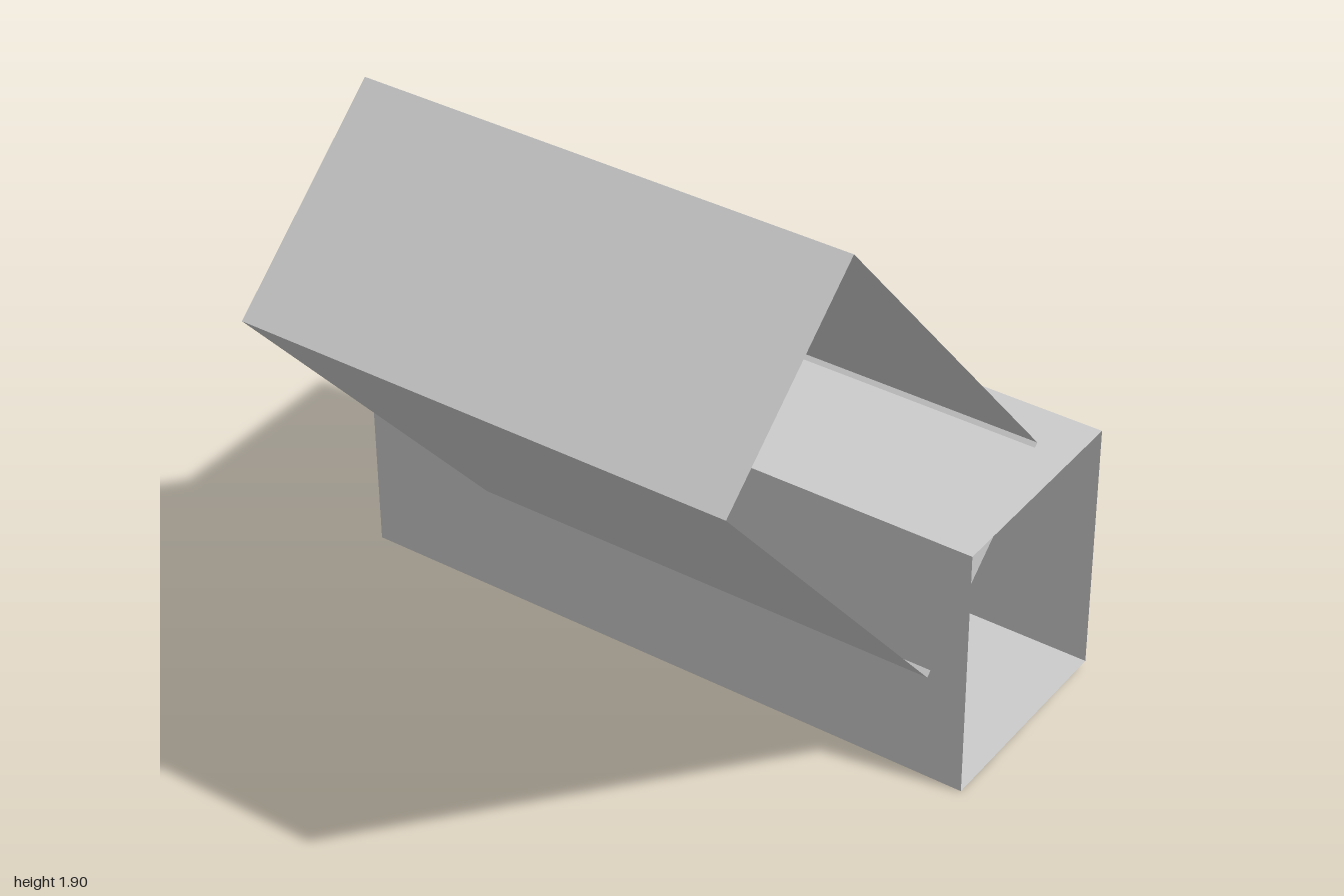
import * as THREE from 'three';

const material = new THREE.MeshStandardMaterial({ color: 0xcccccc, flatShading: true, side: THREE.DoubleSide });

// Thin four-sided shell, open at the front, with a recessed panel in its back.
// Corners run counter-clockwise as seen from the front.
function openBox(name, outer, inset, front, back, recess) {
  const ring = (corners, z) => corners.map(([x, y]) => [x, y, z]);
  const rings = [
    ring(outer, front),
    ring(outer, back),
    ring(inset, back),
    ring(inset, back + recess),
  ];
  const pos = [];
  const quad = (a, b, c, d) => pos.push(...a, ...b, ...c, ...a, ...c, ...d);

  // Side walls, back rim and recess walls
  for (let r = 0; r < rings.length - 1; r++) {
    for (let i = 0; i < 4; i++) {
      const j = (i + 1) % 4;
      quad(rings[r][i], rings[r + 1][i], rings[r + 1][j], rings[r][j]);
    }
  }
  // Recessed panel
  const [a, b, c, d] = rings[3];
  quad(a, d, c, b);

  const geometry = new THREE.BufferGeometry();
  geometry.setAttribute('position', new THREE.Float32BufferAttribute(pos, 3));
  geometry.computeVertexNormals();
  const mesh = new THREE.Mesh(geometry, material);
  mesh.name = name;
  return mesh;
}

export function createModel() {
  const model = new THREE.Group();
  model.name = 'leaningBoxes';

  // Long box standing almost upright on the ground
  model.add(openBox(
    'baseBox',
    [[0.163, 0], [0.832, 0.022], [0.812, 0.817], [0.143, 0.795]],
    [[0.204, 0.062], [0.784, 0.078], [0.766, 0.761], [0.187, 0.745]],
    1, -1, 0.1,
  ));

  // Larger box leaning out of the base
  model.add(openBox(
    'tiltedBox',
    [[0.138, 0.354], [0.656, 0.822], [-0.319, 1.9], [-0.837, 1.435]],
    [[0.108, 0.465], [0.55, 0.864], [-0.289, 1.789], [-0.731, 1.39]],
    0.89, -0.58, 0.07,
  ));

  return model;
}
